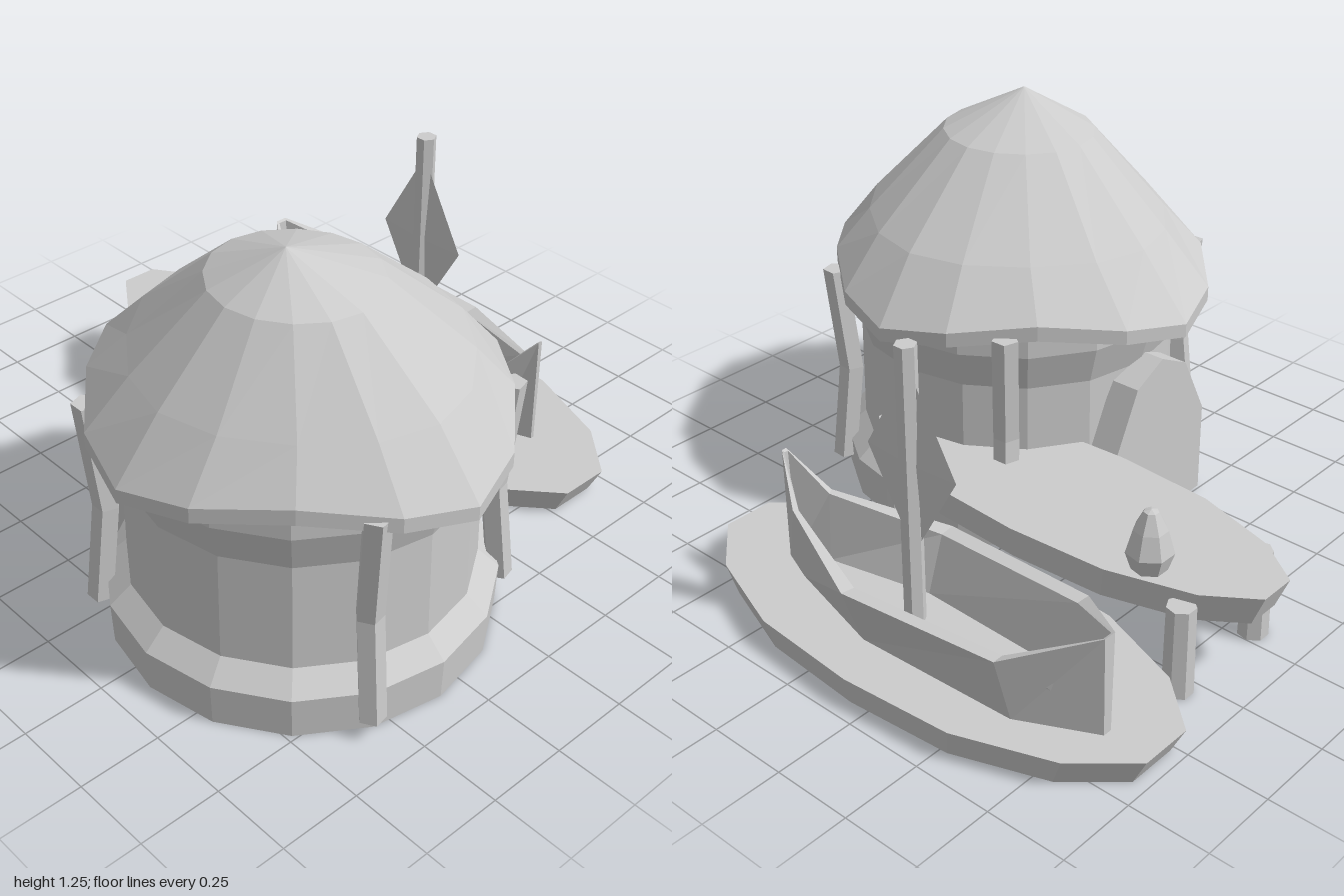
import * as THREE from 'three';

const stone = new THREE.MeshStandardMaterial({ color: 0xcccccc, side: THREE.DoubleSide, flatShading: true });
stone.name = 'light grey';

// Skin a stack of equal-length closed rings (each point is [x, y, z])
function loft(rings) {
  const pos = [];
  const tri = (a, b, c) => pos.push(...a, ...b, ...c);
  const same = (a, b) => a.every((v, i) => Math.abs(v - b[i]) < 1e-6);
  for (let r = 0; r + 1 < rings.length; r++) {
    const lo = rings[r], hi = rings[r + 1], n = lo.length;
    for (let k = 0; k < n; k++) {
      const j = (k + 1) % n;
      if (!same(lo[k], lo[j])) tri(lo[k], hi[k], lo[j]);
      if (!same(hi[k], hi[j])) tri(lo[j], hi[k], hi[j]);
    }
  }
  const g = new THREE.BufferGeometry();
  g.setAttribute('position', new THREE.Float32BufferAttribute(pos, 3));
  g.computeVertexNormals();
  return g;
}

function add(parent, name, geometry, x = 0, y = 0, z = 0) {
  const m = new THREE.Mesh(geometry, stone);
  m.name = name;
  m.position.set(x, y, z);
  parent.add(m);
}

// Long rounded slab that narrows towards its underside
function slab(hx, hz, y0, y1) {
  const quarter = [[1, 0], [0.925, 0.44], [0.63, 0.8], [0.23, 1]];
  const outline = [
    ...quarter,
    ...quarter.slice(1).reverse().map(([x, z]) => [-x, z]),
    ...quarter.map(([x, z]) => [-x, -z]),
    ...quarter.slice(1).reverse().map(([x, z]) => [x, -z]),
  ];
  const ring = (s, y) => outline.map(([x, z]) => [x * hx * s, y, z * hz * s]);
  return loft([ring(0, y0), ring(0.945, y0), ring(1, y1), ring(0, y1)]);
}

// Roof ring: 16 sides, drooping on the axes and pulled in on the diagonals
function roofRing(cx, cz, rx, rz, y, wave, pull) {
  return Array.from({ length: 16 }, (_, k) => {
    const a = (k / 16) * Math.PI * 2 - Math.sin(k * Math.PI / 2) * pull * 0.5;
    const f = 1 - pull * [0, 0.45, 1, 0.45][k % 4];
    return [cx + Math.cos(a) * rx * f, y - wave * Math.cos(k * Math.PI / 2), cz + Math.sin(a) * rz * f];
  });
}

function buildHut() {
  const hut = new THREE.Group();
  hut.name = 'hut';
  const cx = -0.335, cz = 0.338;

  // Open-bottomed wall with a footing and a flared top
  const profile = [[0.563, 0], [0.569, 0.13], [0.506, 0.19], [0.503, 0.53], [0.54, 0.65], [0.54, 0.76]];
  add(hut, 'wall', new THREE.LatheGeometry(profile.map(p => new THREE.Vector2(...p)), 16), cx, 0, cz);

  // Leaning thatched roof with a wavy eave
  add(hut, 'roof', loft([
    roofRing(cx, cz, 0.53, 0.53, 0.74, 0, 0),
    roofRing(-0.338, 0.333, 0.622, 0.664, 0.7, 0.028, 0.1),
    roofRing(-0.338, 0.333, 0.622, 0.664, 0.745, 0.03, 0.1),
    roofRing(-0.35, 0.353, 0.48, 0.508, 0.9, 0, 0.06),
    roofRing(-0.4, 0.388, 0.235, 0.248, 1.14, 0, 0.02),
    roofRing(-0.455, 0.415, 0, 0, 1.253, 0, 0),
  ]));

  // Bent posts that follow the wall
  for (const [x, z] of [[-0.572, 0.872], [0.11, 0.705], [0.12, -0.02], [-0.805, 0]]) {
    const dx = x - cx, dz = z - cz, turn = Math.atan2(dz, dx);
    const post = (s, y, r) => Array.from({ length: 5 }, (_, k) => {
      const a = (k / 5) * Math.PI * 2 + turn;
      return [cx + dx * s + Math.cos(a) * r, y, cz + dz * s + Math.sin(a) * r];
    });
    const [foot, head] = [[1, 0.065], [1, 0.735]];
    add(hut, 'wallPost', loft([
      post(...foot, 0), post(...foot, 0.041), post(0.94, 0.39, 0.041), post(...head, 0.041), post(...head, 0),
    ]));
  }

  // Pointed door block at the back
  const pts = [[-0.222, 0], [0.212, 0], [0.217, 0.3], [0.12, 0.5], [0, 0.56], [-0.12, 0.5], [-0.222, 0.3]];
  const shape = new THREE.Shape(pts.map(p => new THREE.Vector2(...p)));
  add(hut, 'door', new THREE.ExtrudeGeometry(shape, { depth: 0.1, bevelEnabled: false }), -0.352, 0, -0.24);
  return hut;
}

function buildJetty() {
  const jetty = new THREE.Group();
  jetty.name = 'jetty';
  add(jetty, 'deck', slab(0.255, 0.732, 0.22, 0.32), 0.122, 0, -0.267);
  for (const [x, z] of [[-0.045, -0.825], [0.308, -0.82], [0.315, 0.235], [-0.05, 0.235]])
    add(jetty, 'deckPost', new THREE.CylinderGeometry(0.043, 0.046, 0.285, 7), x, 0.1425, z);

  // Small bud-shaped lamp standing on the deck
  const bud = [[0, 0.32], [0.052, 0.325], [0.07, 0.38], [0.05, 0.45], [0.022, 0.505], [0, 0.512]];
  add(jetty, 'lamp', new THREE.LatheGeometry(bud.map(p => new THREE.Vector2(...p)), 7), 0.27, 0, -0.68);
  return jetty;
}

function buildBoat() {
  const boat = new THREE.Group();
  boat.name = 'boat';
  add(boat, 'landing', slab(0.359, 0.814, 0, 0.09), 0.597, 0, -0.186);

  // Hull stations, stern to bow: z, rim half-width, rim height, keel half-width
  const stations = [
    [-0.853, 0.02, 0.4, 0.014],
    [-0.63, 0.188, 0.312, 0.125],
    [-0.1, 0.217, 0.285, 0.145],
    [0.25, 0.075, 0.33, 0.05],
    [0.36, 0.008, 0.457, 0.006],
  ];
  const ring = (fx, fy, sz = 1) => {
    const side = s => stations.map(st => [s * fx(st), fy(st), -0.24 + (st[0] + 0.24) * sz]);
    return [...side(1), ...side(-1).reverse()];
  };
  const centre = y => Array(10).fill([0, y, -0.24]);
  add(boat, 'hull', loft([
    centre(0.088),
    ring(s => s[3], () => 0.088),
    ring(s => s[1], s => s[2]),
    ring(s => s[1] * 0.79, s => s[2] - 0.005, 0.985),
    ring(s => s[3] * 0.76, () => 0.11, 0.96),
    centre(0.11),
  ]), 0.655);

  add(boat, 'mast', new THREE.CylinderGeometry(0.032, 0.032, 0.885, 6), 0.655, 0.5375, -0.16);

  // Slim diamond sail in the lengthwise plane, thickest at the mast
  const sailRing = s => [[0.012, 0], [0, 0.166], [-0.012, 0], [0, -0.166]].map(([x, z]) => [x * s, 0.62, z * s]);
  const tip = y => Array(4).fill([0, y, 0]);
  add(boat, 'sail', loft([tip(0.33), sailRing(1), tip(0.91)]), 0.65, 0, -0.16);
  return boat;
}

export function createModel() {
  const model = new THREE.Group();
  model.name = 'fishingHut';
  model.add(buildHut(), buildJetty(), buildBoat());
  return model;
}
